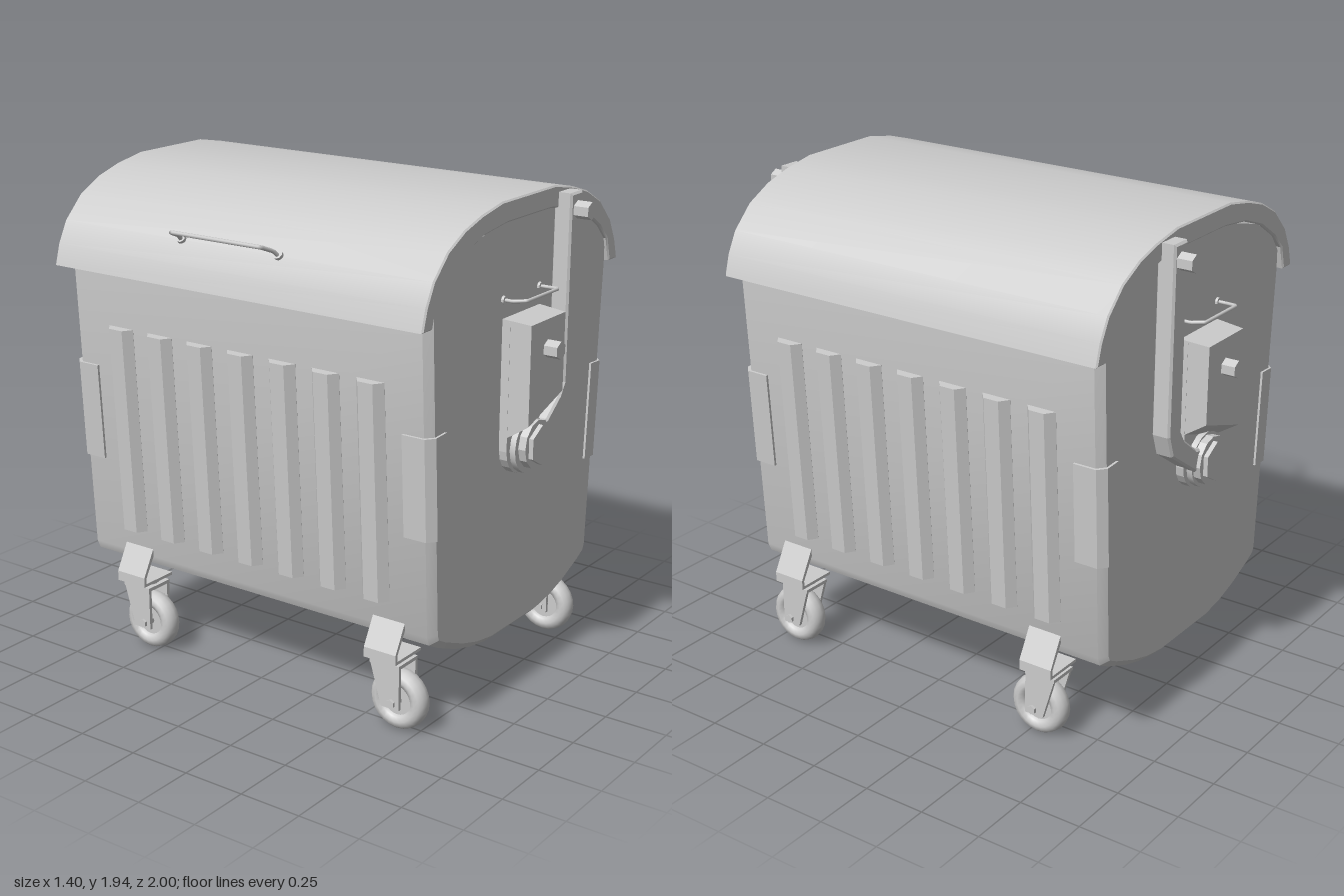
import * as THREE from 'three';
import { toCreasedNormals } from 'three/addons/utils/BufferGeometryUtils.js';

const material = new THREE.MeshStandardMaterial({ color: 0xcccccc, side: THREE.DoubleSide });
const CX = 0.02;      // centre line of the tub
const LEAN = 0.053;   // outward slope of the long sides
const halfWidth = (y) => 0.57 + (y - 0.4) * LEAN;

function add(parent, name, geometry, x = 0, y = 0, z = 0) {
  const mesh = new THREE.Mesh(geometry, material);
  mesh.name = name;
  mesh.position.set(x, y, z);
  parent.add(mesh);
  return mesh;
}

function group(parent, name) {
  const g = new THREE.Group();
  g.name = name;
  parent.add(g);
  return g;
}

const shapeOf = (pts) => new THREE.Shape(pts.map(([x, y]) => new THREE.Vector2(x, y)));

// Prism from an outline, reaching from z0 to z1
function prism(pts, z0, z1, bevel = 0) {
  const g = new THREE.ExtrudeGeometry(shapeOf(pts), {
    depth: z1 - z0 - 2 * bevel, bevelEnabled: bevel > 0, bevelSize: bevel,
    bevelThickness: bevel, bevelOffset: -bevel, bevelSegments: 1,
  });
  return g.translate(0, 0, z0 + bevel);
}

// Upright prism from an outline given as (z, outward x)
const upright = (pts, height) => prism(pts, 0, height).rotateX(-Math.PI / 2).rotateY(-Math.PI / 2);

// Cylinder along z
const rod = (r, z0, z1, sides) =>
  toCreasedNormals(new THREE.CylinderGeometry(r, r, z1 - z0, sides).rotateX(Math.PI / 2).translate(0, 0, (z0 + z1) / 2), 0.5);

const mirrored = (half, cx) => [
  ...half.map(([x, y]) => [cx + x, y]),
  ...half.slice().reverse().map(([x, y]) => [cx - x, y]),
];

// Straight-segment wire through a few points
function wire(pts, r) {
  const path = new THREE.CurvePath();
  const v = pts.map((p) => new THREE.Vector3(...p));
  for (let i = 1; i < v.length; i++) path.add(new THREE.LineCurve3(v[i - 1], v[i]));
  return new THREE.TubeGeometry(path, 48, r, 8);
}

function addTubAndLid(root) {
  const tub = [[0.17, 0.247], [0.28, 0.265], [0.38, 0.295], [0.5, 0.345], [0.555, 0.375], [0.57, 0.41],
    [0.632, 1.585], [0.63, 1.67], [0.56, 1.76], [0.44, 1.83], [0.17, 1.9]];
  add(root, 'tub', toCreasedNormals(prism(mirrored(tub, CX), -0.83, 0.83, 0.028), 0.45));

  const outer = [[0.185, 1.943], [0.32, 1.918], [0.43, 1.885], [0.535, 1.83], [0.622, 1.743], [0.665, 1.66], [0.688, 1.578]];
  const inner = [[0.15, 1.863], [0.3, 1.845], [0.43, 1.8], [0.54, 1.73], [0.6, 1.67], [0.625, 1.578]];
  const lid = [...mirrored(outer, 0.013), ...mirrored(inner, 0.013).reverse()];
  // The second half runs back along the underside of the shell
  const n = outer.length, m = inner.length;
  const right = lid.slice(0, n), left = lid.slice(n, 2 * n);
  const under = mirrored(inner, 0.013);
  const rim = [...left, ...right, ...under.slice(0, m).reverse(), ...under.slice(m).reverse()];
  add(root, 'lid', toCreasedNormals(prism(rim, -0.845, 0.845, 0.006), 0.5));

  add(root, 'lidHandle', wire([[-0.615, 1.745, -0.255], [-0.635, 1.765, -0.25], [-0.69, 1.787, -0.24],
    [-0.69, 1.787, 0.178], [-0.635, 1.765, 0.188], [-0.615, 1.745, 0.193]], 0.008));
  for (const z of [-0.255, 0.193]) {
    const foot = add(root, 'lidHandleFoot', new THREE.CylinderGeometry(0.018, 0.018, 0.012, 10), -0.613, 1.747, z);
    foot.rotation.z = 0.8;
  }
}

// Ribs and corner plates on one long side
function addSide(root, s) {
  const side = group(root, s > 0 ? 'leftSide' : 'rightSide');
  side.position.x = CX;
  side.rotation.y = s > 0 ? 0 : Math.PI;
  for (let i = -3; i <= 3; i++) {
    const rib = add(side, 'rib', upright([[-0.06, -0.012], [0.06, -0.012], [0.06, 0], [0.032, 0.034], [-0.032, 0.034], [-0.06, 0]], 0.84),
      halfWidth(0.515), 0.515, i * 0.194);
    rib.rotation.z = -LEAN;
  }
  for (const e of [1, -1]) {
    const plate = [[0.715, 0.009], [0.81, 0.009], [0.839, -0.022], [0.839, -0.09], [0.8, -0.09], [0.715, -0.03]]
      .map(([z, x]) => [z * e, x]);
    add(side, 'cornerPlate', upright(plate, 0.39), halfWidth(0.79), 0.79, 0).rotation.z = -LEAN;
  }
}

// Swivel wheel with its fork and bent sheet mount
function addCaster(root, s, z) {
  const caster = group(root, 'caster');
  caster.position.set(0.023, 0, z);
  const x = 0.54 * s;
  const sheet = [[0.465, 0.295], [0.632, 0.295], [0.632, 0.335], [0.562, 0.465], [0.548, 0.455], [0.62, 0.33], [0.62, 0.307], [0.465, 0.307]];
  add(caster, 'casterMount', prism(sheet.map(([a, b]) => [a * s, b]), -0.07, 0.07));
  add(caster, 'swivel', new THREE.CylinderGeometry(0.05, 0.05, 0.03, 16), x, 0.288, 0);
  add(caster, 'forkTop', new THREE.BoxGeometry(0.124, 0.014, 0.13), x, 0.271, 0);
  const leg = [[-0.065, 0.1], [0.065, 0.275], [-0.065, 0.275]];
  leg.splice(1, 0, [0.014, 0.1]);
  for (const e of [-1, 1]) {
    add(caster, 'forkLeg', prism(leg, -0.007, 0.007).rotateY(Math.PI / 2), x + e * 0.054, 0, 0);
  }
  const tyre = [[0.02, -0.022], [0.06, -0.022], [0.066, -0.034], [0.085, -0.041], [0.103, -0.036], [0.115, -0.022], [0.12, 0],
    [0.115, 0.022], [0.103, 0.036], [0.085, 0.041], [0.066, 0.034], [0.06, 0.022], [0.02, 0.022]];
  const wheel = new THREE.LatheGeometry(tyre.map((p) => new THREE.Vector2(...p)), 24).rotateZ(Math.PI / 2);
  add(caster, 'wheel', toCreasedNormals(wheel, 0.8), x, 0.122, 0.032);
  add(caster, 'axle', rod(0.018, -0.072, 0.072, 6).rotateY(Math.PI / 2), x, 0.122, 0.032);
}

// Lid lever, pivot and gear box on one end; the far end is mirrored
function addEnd(root, e) {
  const end = group(root, e > 0 ? 'frontEnd' : 'backEnd');
  end.rotation.y = e > 0 ? 0 : Math.PI;
  const flip = (pts) => pts.map(([x, y]) => [x * e, y]);

  // Back plate with a round foot
  const plate = [[0.13, 1.5], [-0.13, 1.5]];
  for (let i = 0; i <= 10; i++) {
    const a = Math.PI + (i / 10) * Math.PI;
    plate.push([0.13 * Math.cos(a), 1.01 + 0.112 * Math.sin(a)]);
  }
  add(end, 'backPlate', prism(flip(plate), 0.82, 0.862));

  // Housing with a sloping underside
  const housing = new THREE.BoxGeometry(1, 1, 1);
  const p = housing.attributes.position;
  for (let i = 0; i < p.count; i++) {
    const front = p.getZ(i) > 0, sx = Math.sign(p.getX(i));
    const bottom = (front ? 1.16 : 1.085) + 0.04 * sx * e;
    const y = p.getY(i) > 0 ? (front ? 1.5 : 1.51) : bottom;
    p.setXYZ(i, sx * (front ? 0.122 : 0.132), y, front ? 0.945 : 0.83);
  }
  housing.computeVertexNormals();
  add(end, 'housing', housing);
  add(end, 'housingBolt', rod(0.034, 0.93, 1.0, 6), 0, 1.39, 0);

  // Cranked lever with a raised spine
  const lever = [[0.22, 1.915], [0.305, 1.915], [0.305, 1.2], [0.275, 1.115], [0.085, 0.985], [0.0, 1.0], [0.03, 1.07], [0.1, 1.085], [0.19, 1.155], [0.218, 1.2]];
  add(end, 'lever', prism(flip(lever), 0.825, 0.9, 0.008));
  add(end, 'leverBolt', rod(0.034, 0.89, 0.96, 6), 0.265 * e, 1.85, 0);

  add(end, 'hubBase', rod(0.108, 0.84, 0.885, 16), 0, 1.01, 0);
  add(end, 'hubCollar', rod(0.094, 0.88, 0.915, 12), 0.008 * e, 1.015, 0);
  add(end, 'hubNut', rod(0.078, 0.91, 0.933, 6), 0.008 * e, 1.015, 0);

  // Grab rail
  add(end, 'grabRail', wire([[-0.13, 1.58, 0.82], [-0.13, 1.58, 0.87], [-0.11, 1.585, 0.918],
    [0.11, 1.585, 0.918], [0.125, 1.58, 0.87], [0.125, 1.58, 0.82]], 0.007));
  for (const x of [-0.13, 0.125]) add(end, 'railFoot', rod(0.016, 0.825, 0.84, 10), x, 1.58, 0);
}

export function createModel() {
  const root = new THREE.Group();
  root.name = 'wheeledContainer';
  addTubAndLid(root);
  for (const s of [1, -1]) {
    addSide(root, s);
    addEnd(root, s);
    for (const z of [0.636, -0.57]) addCaster(root, s, z);
  }
  return root;
}
